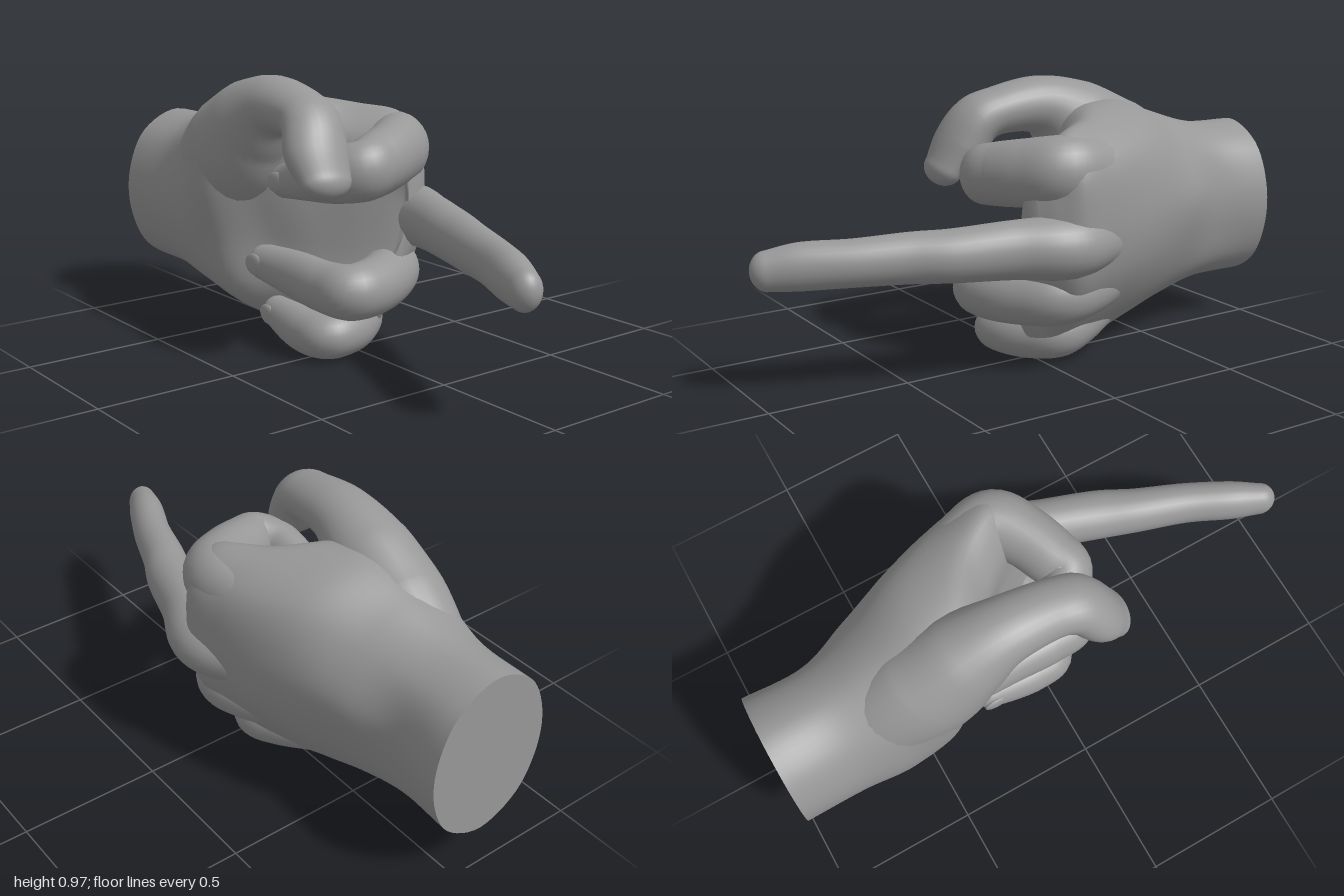
import * as THREE from 'three';

const material = new THREE.MeshStandardMaterial({ color: 0x989898, side: THREE.DoubleSide });
const V = (x, y, z) => new THREE.Vector3(x, y, z);

// Skin a list of equally sized closed rings
function skin(rings) {
  const n = rings[0].length, index = [];
  for (let i = 0; i < rings.length - 1; i++) {
    for (let j = 0; j < n; j++) {
      const a = i * n + j, b = i * n + (j + 1) % n;
      index.push(a, a + n, b, b, a + n, b + n);
    }
  }
  const geo = new THREE.BufferGeometry().setFromPoints(rings.flat());
  geo.setIndex(index);
  geo.computeVertexNormals();
  return geo;
}

function addMesh(group, name, geo) {
  const mesh = new THREE.Mesh(geo, material);
  mesh.name = name;
  group.add(mesh);
  return mesh;
}

// Tapered finger with a round tip; rows are x, y, z, radius along up, radius across
function fingerGeometry(rows, up) {
  const path = new THREE.CatmullRomCurve3(rows.map(r => V(r[0], r[1], r[2])));
  const radii = new THREE.CatmullRomCurve3(rows.map((r, i) => V(r[3], r[4], i * 0.1)));
  const rings = [], steps = 60, sides = 28;
  const ring = (c, t, ra, rb) => {
    const side = V().crossVectors(up, t).normalize();
    const top = V().crossVectors(t, side);
    rings.push(Array.from({ length: sides }, (_, j) => {
      const a = j / sides * Math.PI * 2;
      return c.clone().addScaledVector(side, Math.cos(a) * rb).addScaledVector(top, Math.sin(a) * ra);
    }));
  };
  for (let i = 0; i <= steps; i++) {
    const u = i / steps, r = radii.getPoint(u);
    ring(path.getPoint(u), path.getTangent(u), r.x, r.y);
  }
  const end = path.getPoint(1), dir = path.getTangent(1), last = rows[rows.length - 1];
  for (let i = 1; i <= 9; i++) {
    const a = i / 9 * Math.PI / 2, k = Math.max(Math.cos(a), 0.001);
    ring(end.clone().addScaledVector(dir, Math.sin(a) * last[4] * 1.05), dir, last[3] * k, last[4] * k);
  }
  return skin(rings);
}

// Palm and wrist: x, low y, high y, four back depths, four palm depths (bottom to top)
const stations = [
  [-1.00, 0.16, 0.76, -0.05, -0.12, -0.12, -0.05, 0.25, 0.32, 0.32, 0.25],
  [-0.78, 0.155, 0.77, -0.04, -0.10, -0.11, -0.05, 0.25, 0.32, 0.32, 0.25],
  [-0.60, 0.11, 0.825, -0.05, -0.15, -0.18, -0.08, 0.25, 0.33, 0.34, 0.28],
  [-0.42, 0.06, 0.885, -0.08, -0.21, -0.24, -0.16, 0.23, 0.29, 0.34, 0.32],
  [-0.28, 0.04, 0.885, -0.11, -0.25, -0.28, -0.22, 0.14, 0.14, 0.20, 0.27],
  [-0.14, 0.03, 0.86, -0.14, -0.275, -0.31, -0.275, 0.08, 0.05, 0.04, 0.04],
  [0.00, 0.035, 0.84, -0.155, -0.295, -0.325, -0.305, 0.03, -0.03, -0.06, -0.09],
  [0.07, 0.12, 0.79, -0.13, -0.25, -0.28, -0.25, -0.02, -0.08, -0.11, -0.13],
  [0.12, 0.23, 0.71, -0.12, -0.20, -0.22, -0.20, -0.07, -0.12, -0.15, -0.15],
];

function palmGeometry() {
  const heights = [0.12, 0.37, 0.63, 0.88];
  const outlines = stations.map(([x, lo, hi, ...d]) => {
    const y = k => lo + (hi - lo) * heights[k];
    return [
      V(x, lo, (d[0] + d[4]) / 2),
      ...[0, 1, 2, 3].map(k => V(x, y(k), d[4 + k])),
      V(x, hi, (d[3] + d[7]) / 2),
      ...[3, 2, 1, 0].map(k => V(x, y(k), d[k])),
    ];
  });
  const rails = outlines[0].map((_, j) => new THREE.CatmullRomCurve3(outlines.map(o => o[j])));
  const rings = [];
  for (let i = 0; i <= 64; i++) {
    const loop = new THREE.CatmullRomCurve3(rails.map(r => r.getPoint(i / 64)), true);
    rings.push(loop.getPoints(60).slice(0, 60).reverse());
  }
  // Close the knuckle end
  const center = rings[64].reduce((s, p) => s.add(p), V(0, 0, 0)).divideScalar(60);
  for (const k of [0.6, 0.01]) {
    rings.push(rings[64].map(p => p.clone().lerp(center, 1 - k).add(V(0.015, 0, 0))));
  }
  return { geo: skin(rings), wrist: rings[0] };
}

// Each finger starts inside the palm and bends out of its knuckle
const fingers = {
  indexFinger: [
    [-0.30, 0.68, -0.13, 0.10, 0.09], [-0.10, 0.70, -0.20, 0.12, 0.10], [0.01, 0.71, -0.20, 0.125, 0.112],
    [0.08, 0.70, -0.11, 0.118, 0.105], [0.125, 0.685, -0.01, 0.112, 0.10], [0.15, 0.675, 0.06, 0.105, 0.088],
    [0.09, 0.66, 0.115, 0.10, 0.078], [-0.04, 0.635, 0.122, 0.09, 0.072], [-0.20, 0.595, 0.135, 0.062, 0.055]],
  middleFinger: [
    [-0.28, 0.45, -0.15, 0.09, 0.08], [-0.12, 0.46, -0.215, 0.10, 0.10], [0.02, 0.465, -0.25, 0.11, 0.115],
    [0.2, 0.47, -0.20, 0.10, 0.09], [0.4, 0.465, -0.135, 0.09, 0.087], [0.52, 0.465, -0.085, 0.086, 0.078],
    [0.7, 0.46, -0.02, 0.08, 0.07], [0.85, 0.455, 0.05, 0.08, 0.066], [0.945, 0.445, 0.092, 0.068, 0.054]],
  ringFinger: [
    [-0.28, 0.29, -0.10, 0.09, 0.08], [-0.12, 0.28, -0.16, 0.10, 0.10], [0.0, 0.275, -0.175, 0.105, 0.105],
    [0.09, 0.265, -0.08, 0.102, 0.10], [0.14, 0.26, 0.03, 0.10, 0.096], [0.145, 0.26, 0.115, 0.097, 0.092],
    [0.05, 0.26, 0.14, 0.092, 0.078], [-0.12, 0.27, 0.145, 0.086, 0.07], [-0.305, 0.28, 0.155, 0.068, 0.06]],
  littleFinger: [
    [-0.30, 0.14, -0.01, 0.07, 0.06], [-0.16, 0.12, -0.065, 0.085, 0.075], [-0.06, 0.105, -0.08, 0.09, 0.085],
    [0.01, 0.095, -0.01, 0.09, 0.085], [0.05, 0.092, 0.07, 0.086, 0.085], [0.05, 0.088, 0.14, 0.082, 0.085],
    [-0.03, 0.088, 0.165, 0.082, 0.072], [-0.12, 0.097, 0.165, 0.076, 0.066], [-0.22, 0.113, 0.16, 0.06, 0.055]],
};

const thumb = [
  [-0.84, 0.48, 0.13, 0.10, 0.10], [-0.62, 0.57, 0.15, 0.165, 0.20], [-0.44, 0.68, 0.175, 0.178, 0.215],
  [-0.30, 0.80, 0.19, 0.15, 0.165], [-0.17, 0.87, 0.20, 0.115, 0.108], [0.0, 0.865, 0.21, 0.10, 0.086],
  [0.08, 0.835, 0.225, 0.105, 0.088], [0.14, 0.75, 0.25, 0.115, 0.085], [0.20, 0.67, 0.258, 0.095, 0.06]];

// Nails: centre, direction toward the fingertip, outward direction, half width
const nails = [
  ['indexNail', [-0.19, 0.598, 0.184], [-1, -0.25, 0.08], [0, 0, 1], 0.036],
  ['middleNail', [0.945, 0.447, 0.05], [0.9, 0, 0.45], [0.45, 0, -0.9], 0.038],
  ['ringNail', [-0.30, 0.28, 0.208], [-1, 0.06, 0.04], [-0.04, 0, 1], 0.04],
  ['littleNail', [-0.215, 0.113, 0.209], [-1, 0.15, 0], [-0.08, 0, 1], 0.036],
  ['thumbNail', [0.212, 0.727, 0.256], [0.6, -0.8, 0], [0.8, 0.6, 0], 0.046],
];

export function createModel() {
  const group = new THREE.Group();
  group.name = 'pointingHand';

  const palm = palmGeometry();
  addMesh(group, 'palmAndWrist', palm.geo);

  // Flat cut at the wrist
  const cut = new THREE.Shape(palm.wrist.map(p => new THREE.Vector2(p.z, p.y)));
  const cap = addMesh(group, 'wristCap', new THREE.ShapeGeometry(cut));
  cap.rotation.y = -Math.PI / 2;
  cap.position.x = -1;

  for (const [name, rows] of Object.entries(fingers)) {
    addMesh(group, name, fingerGeometry(rows, V(0, 1, 0)));
  }
  addMesh(group, 'thumb', fingerGeometry(thumb, V(0, 0, 1)));

  for (const [name, at, along, out, width] of nails) {
    const nail = addMesh(group, name, new THREE.SphereGeometry(1, 20, 12));
    const x = V(...along).normalize();
    const y = V().crossVectors(V(...out), x).normalize();
    nail.quaternion.setFromRotationMatrix(new THREE.Matrix4().makeBasis(x, y, V().crossVectors(x, y)));
    nail.scale.set(width * 1.3, width, 0.012);
    nail.position.set(...at);
  }
  return group;
}
